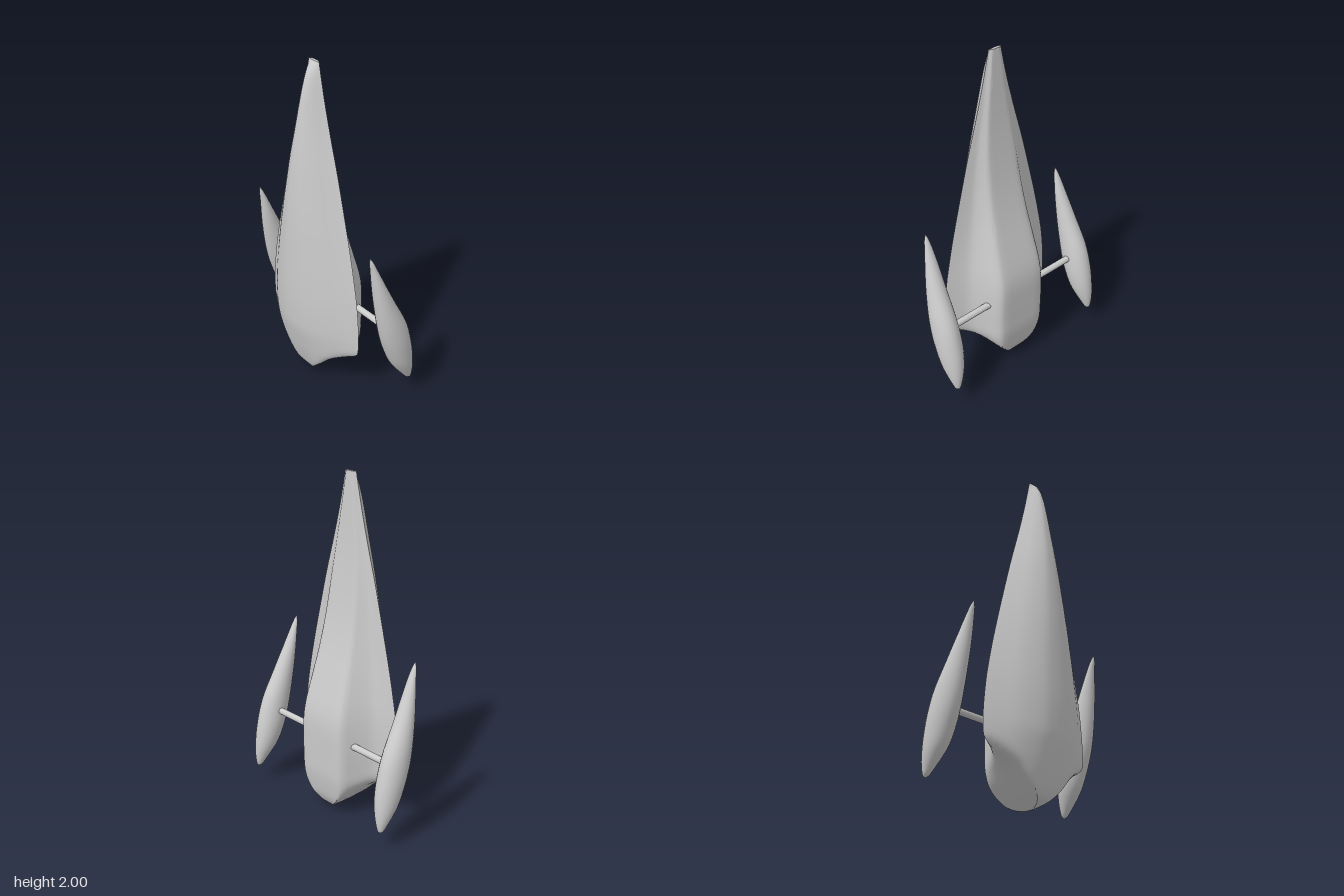
import * as THREE from 'three';
import { mergeVertices, toCreasedNormals } from 'three/addons/utils/BufferGeometryUtils.js';

const material = new THREE.MeshStandardMaterial({ color: 0xcccccc });

// Smooth, non-overshooting curve through [y, value] pairs (y ascending)
function curve(points) {
  const n = points.length;
  const slope = (i) => (points[i + 1][1] - points[i][1]) / (points[i + 1][0] - points[i][0]);
  const tangent = (i) => {
    if (i === 0) return slope(0);
    if (i === n - 1) return slope(n - 2);
    const a = slope(i - 1), b = slope(i);
    return a * b <= 0 ? 0 : (2 * a * b) / (a + b);
  };
  return (y) => {
    let i = 0;
    while (i < n - 2 && y > points[i + 1][0]) i++;
    const h = points[i + 1][0] - points[i][0];
    const t = THREE.MathUtils.clamp((y - points[i][0]) / h, 0, 1);
    const t2 = t * t, t3 = t2 * t;
    return (2 * t3 - 3 * t2 + 1) * points[i][1] + (t3 - 2 * t2 + t) * h * tangent(i)
      + (3 * t2 - 2 * t3) * points[i + 1][1] + (t3 - t2) * h * tangent(i + 1);
  };
}

// Skin closed rings, listed bottom to top, running +x, +z, -x, -z; ends are capped
function loft(rings, crease) {
  const n = rings[0].length, pos = [], index = [];
  rings.forEach((ring) => ring.forEach((p) => pos.push(p.x, p.y, p.z)));
  for (let i = 0; i < rings.length - 1; i++) {
    for (let j = 0; j < n; j++) {
      const a = i * n + j, b = i * n + (j + 1) % n;
      index.push(a, a + n, b, b, a + n, b + n);
    }
  }
  [0, rings.length - 1].forEach((r) => {
    const centre = new THREE.Vector3();
    rings[r].forEach((p) => centre.addScaledVector(p, 1 / n));
    const c = pos.length / 3;
    pos.push(centre.x, centre.y, centre.z);
    for (let j = 0; j < n; j++) {
      const a = r * n + j, b = r * n + (j + 1) % n;
      if (r === 0) index.push(c, a, b);
      else index.push(c, b, a);
    }
  });
  const g = new THREE.BufferGeometry();
  g.setAttribute('position', new THREE.Float32BufferAttribute(pos, 3));
  g.setIndex(index);
  if (crease) return toCreasedNormals(g, crease);
  const smooth = mergeVertices(g);
  smooth.computeVertexNormals();
  return smooth;
}

// Hull: domed front shell, sharp side edges, raised ridge on the back, keel below
function hullGeometry() {
  const seamZ = 0.065;
  const width = curve([[0, 0.39], [0.3, 0.392], [0.4, 0.395], [0.6, 0.38], [0.8, 0.345], [1, 0.3],
    [1.2, 0.25], [1.4, 0.198], [1.6, 0.14], [1.8, 0.087], [1.9, 0.064], [2, 0.043]]);
  const front = curve([[0, 0.03], [0.01, 0.075], [0.03, 0.115], [0.06, 0.14], [0.1, 0.157], [0.25, 0.198],
    [0.4, 0.225], [0.6, 0.233], [1, 0.226], [1.4, 0.2], [1.66, 0.167], [1.85, 0.135], [1.94, 0.108], [2, 0.07]]);
  const back = curve([[0, -0.01], [0.01, -0.06], [0.04, -0.115], [0.12, -0.148], [0.28, -0.168], [0.55, -0.17],
    [0.62, -0.162], [0.8, -0.115], [1, -0.06], [1.2, -0.018], [1.4, 0.01], [1.6, 0.03], [2, 0.053]]);
  const taper = curve([[0, 0.003], [0.06, 0.07], [0.12, 0.135], [0.19, 0.21], [0.22, 0.26], [0.25, 0.325],
    [0.27, 0.38], [0.29, 0.46], [0.33, 0.8], [0.4, 3]]);

  // Half sections as fractions of width and depth, from side edge to middle
  const half = (pairs, count) => new THREE.SplineCurve(pairs.map(([x, d]) => new THREE.Vector2(x, d))).getPoints(count);
  const dome = half([[1, 0], [0.8, 0.3], [0.6, 0.6], [0.4, 0.82], [0.2, 0.97], [0, 1]], 15);
  const ridge = half([[1, 0], [0.83, 0.13], [0.68, 0.28], [0.58, 0.5], [0.5, 0.73], [0.44, 0.9], [0.34, 1], [0, 1]], 21);

  const levels = [0, 0.005, 0.012, 0.02, 0.035];
  for (let y = 0.05; y < 0.4; y += 0.02) levels.push(y);
  for (let y = 0.42; y < 1.89; y += 0.06) levels.push(y);
  levels.push(1.92, 1.95, 1.975, 2);

  const rings = levels.map((y) => {
    const w = width(y), limit = taper(y);
    const place = (p, side, z, flare) => {
      const x = p.x * w * (1 + flare * (1 - p.x));
      // Rounded clipping against the keel's V
      const clipped = x < 1e-4 ? 0 : x / Math.pow(1 + Math.pow(x / limit, 6), 1 / 6);
      return new THREE.Vector3(side * clipped, y, THREE.MathUtils.lerp(seamZ, z, Math.min(p.y, 1)));
    };
    const flare = 0.7 * THREE.MathUtils.smoothstep(y, 0.9, 2);
    const f = (s) => dome.map((p) => place(p, s, front(y), 0));
    const b = (s) => ridge.map((p) => place(p, s, back(y), flare));
    return [...f(1), ...f(-1).reverse().slice(1), ...b(-1).slice(1), ...b(1).reverse().slice(1, -1)];
  });
  return loft(rings, 0.55);
}

// Pod: leaning teardrop with elliptical sections
function podGeometry() {
  const limits = [ // y, inner x, outer x, back z, front z
    [0.107, 0.53, 0.54, -0.208, -0.198], [0.115, 0.52, 0.55, -0.217, -0.185], [0.15, 0.503, 0.562, -0.224, -0.155],
    [0.2, 0.483, 0.575, -0.227, -0.115], [0.26, 0.463, 0.586, -0.224, -0.073], [0.34, 0.45, 0.593, -0.214, -0.037],
    [0.42, 0.445, 0.596, -0.197, -0.008], [0.52, 0.447, 0.592, -0.168, 0.019], [0.71, 0.455, 0.567, -0.075, 0.051],
    [0.85, 0.463, 0.542, -0.008, 0.067], [0.95, 0.473, 0.522, 0.038, 0.077], [1.01, 0.484, 0.508, 0.067, 0.085],
    [1.032, 0.492, 0.498, 0.08, 0.085]];
  const [x0, x1, z0, z1] = [1, 2, 3, 4].map((k) => curve(limits.map((r) => [r[0], r[k]])));
  const rings = [];
  for (let i = 0; i <= 32; i++) {
    const y = THREE.MathUtils.lerp(0.107, 1.032, (1 - Math.cos((Math.PI * i) / 32)) / 2);
    const ring = [];
    for (let j = 0; j < 24; j++) {
      const a = (j / 24) * Math.PI * 2;
      ring.push(new THREE.Vector3(
        (x0(y) + x1(y)) / 2 + Math.cos(a) * (x1(y) - x0(y)) / 2, y,
        (z0(y) + z1(y)) / 2 + Math.sin(a) * (z1(y) - z0(y)) / 2));
    }
    rings.push(ring);
  }
  return rings;
}

export function createModel() {
  const model = new THREE.Group();
  const add = (name, geometry) => {
    const mesh = new THREE.Mesh(geometry, material);
    mesh.name = name;
    model.add(mesh);
    return mesh;
  };
  add('hull', hullGeometry());

  const podRings = podGeometry();
  [['left', 1], ['right', -1]].forEach(([name, side]) => {
    // Mirrored rings are reversed so the faces stay outward
    const rings = podRings.map((ring) => {
      const r = ring.map((p) => new THREE.Vector3(p.x * side, p.y, p.z));
      return side < 0 ? r.reverse() : r;
    });
    add(name + 'Pod', loft(rings));
    // Strut joining the pod to the hull
    const strut = add(name + 'Strut', new THREE.CylinderGeometry(0.02, 0.02, 0.36, 16));
    strut.rotation.z = Math.PI / 2;
    strut.position.set(side * 0.32, 0.47, -0.09);
  });
  return model;
}
